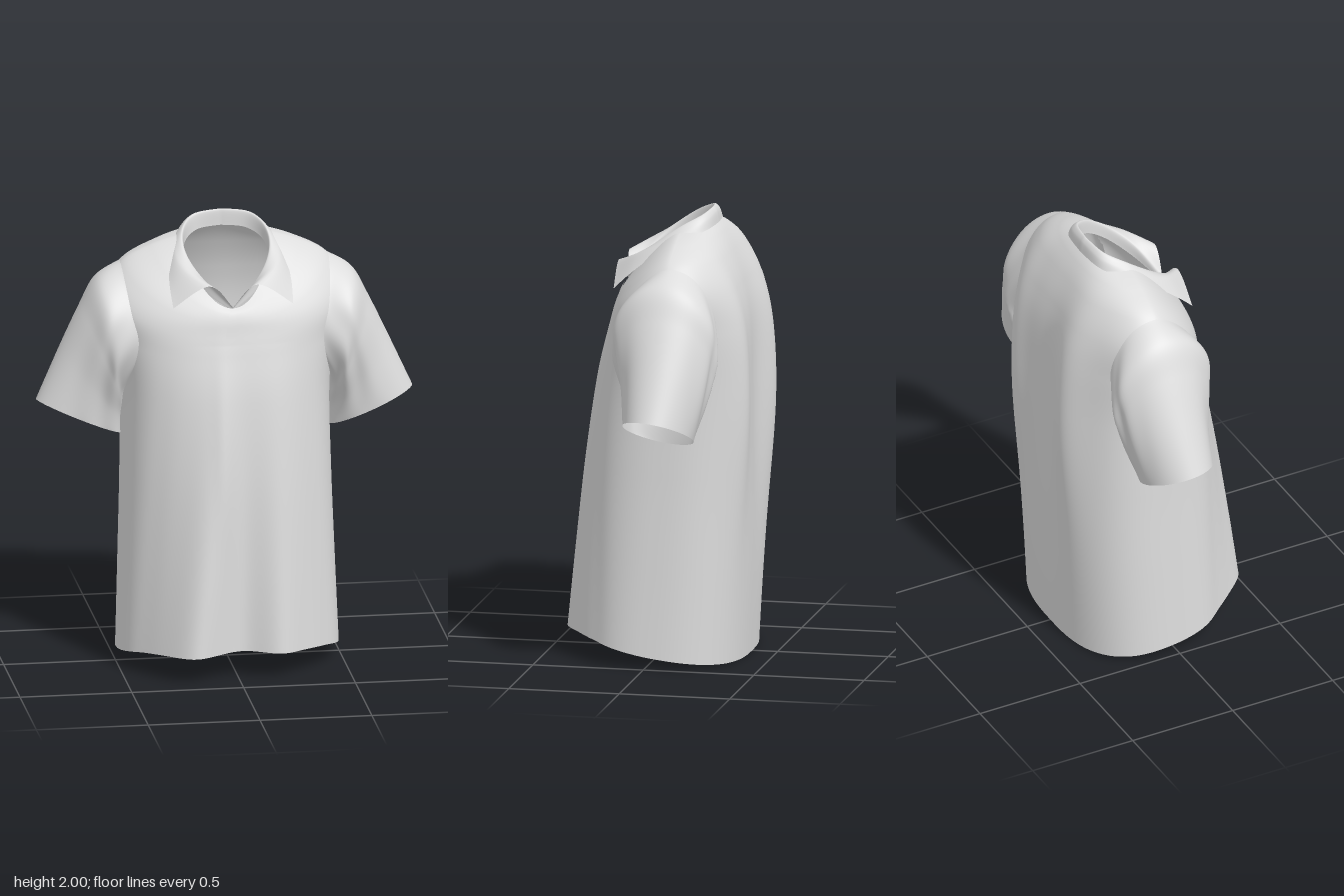
import * as THREE from 'three';

const fabric = new THREE.MeshStandardMaterial({ color: 0xdcdcdc, side: THREE.DoubleSide });
fabric.name = 'light grey fabric';

// Smoothly interpolate a table of rows; t runs from 0 to 1
function sample(rows, t) {
  const f = Math.min(Math.max(t, 0), 1) * (rows.length - 1);
  const i = Math.min(Math.floor(f), rows.length - 2), k = f - i;
  const at = (j) => rows[Math.min(Math.max(j, 0), rows.length - 1)];
  return rows[i].map((b, c) => {
    const a = at(i - 1)[c], d = at(i + 1)[c], e = at(i + 2)[c];
    return b + 0.5 * k * (d - a + k * (2 * a - 5 * b + 4 * d - e + k * (3 * (b - d) + e - a)));
  });
}

// Surface from point(u, v); closed surfaces share their seam along u, skip(u, v) cuts holes
function surface(name, point, nu, nv, closed, skip = () => false) {
  const pos = [], index = [], cols = closed ? nu : nu + 1;
  for (let j = 0; j <= nv; j++)
    for (let i = 0; i < cols; i++) pos.push(...point(i / nu, j / nv));
  for (let j = 0; j < nv; j++)
    for (let i = 0; i < nu; i++) {
      if (skip((i + 0.5) / nu, (j + 0.5) / nv)) continue;
      const a = j * cols + i, b = j * cols + ((i + 1) % cols);
      index.push(a, a + cols, b, b, a + cols, b + cols);
    }
  const g = new THREE.BufferGeometry();
  g.setAttribute('position', new THREE.Float32BufferAttribute(pos, 3));
  g.setIndex(index);
  g.computeVertexNormals();
  const mesh = new THREE.Mesh(g, fabric);
  mesh.name = name;
  return mesh;
}

const bump = (x, centre, width) => Math.exp(-(((x - centre) / width) ** 2));

// Body sections: half width, y front / side / back, z front / side / back, squareness
const bodyRows = [
  [0.492, 0.125, 0.055, 0.0, 0.375, 0.0, -0.385, 0.74],
  [0.478, 0.5, 0.45, 0.42, 0.352, -0.03, -0.405, 0.74],
  [0.465, 0.9, 0.87, 0.85, 0.323, -0.06, -0.416, 0.74],
  [0.462, 1.25, 1.25, 1.25, 0.283, -0.09, -0.416, 0.73],
  [0.495, 1.45, 1.5, 1.52, 0.243, -0.1, -0.404, 0.77],
  [0.535, 1.55, 1.69, 1.69, 0.218, -0.1, -0.368, 0.86],
  [0.46, 1.6, 1.815, 1.82, 0.205, -0.1, -0.315, 0.93],
  [0.33, 1.635, 1.885, 1.9, 0.19, -0.1, -0.265, 1],
  [0.2, 1.655, 1.925, 1.945, 0.172, -0.1, -0.22, 1],
];

function bodyPoint(u, v) {
  const [w, yF, yS, yB, zF, zS, zB, square] = sample(bodyRows, v);
  const c = Math.cos(-u * Math.PI * 2), s = Math.sin(-u * Math.PI * 2);
  const e = square + (s > 0 ? 0.1 * (1 - v) : 0);
  const x = w * Math.sign(c) * Math.abs(c) ** e;
  const y = yS + ((s > 0 ? yF : yB) - yS) * Math.abs(s) ** (e + 0.5 * v);
  let z = zS + ((s > 0 ? zF : zB) - zS) * Math.abs(s) ** e;
  // Drape folds, deeper towards the front hem and the middle of the back
  const low = Math.min(Math.max(1 - y / 1.5, 0), 1);
  if (s > 0) {
    z += s * low * (0.105 * bump(x, -0.04 - 0.19 * low, 0.12) + 0.06 * bump(x, 0.2, 0.1) - 0.025 * bump(x, 0.02, 0.08));
    z -= s * low * 0.02 * bump(Math.abs(x), 0.3 + 0.13 * low, 0.05);
    z += s * 0.012 * bump(y, 1.0, 0.4) * bump(x, -0.06, 0.04);
  } else {
    const mid = bump(y, 1.2, 0.55);
    z += s * mid * (0.05 * bump(x, -0.22, 0.11) + 0.055 * bump(x, 0.31, 0.1) - 0.02 * bump(x, 0, 0.12));
  }
  return [x, y, z];
}

// Armholes are ellipses in the body's own u and v
const armhole = { u: 0.108, v: 0.18, centre: 0.565 };

function inArmhole(u, v) {
  const du = Math.abs(u - Math.round(u * 2) / 2);
  return Math.hypot(du / armhole.u, (v - armhole.centre) / armhole.v) < 0.97;
}

// Sleeve sections: x and y of the top, x and y of the underside, z centre, half depth
const sleeveSections = [
  [0.572, 1.742, 0.46, 1.215, -0.1, 0.238],
  [0.645, 1.61, 0.462, 1.16, -0.105, 0.216],
  [0.735, 1.42, 0.465, 1.1, -0.11, 0.184],
  [0.84, 1.19, 0.465, 1.025, -0.1, 0.156],
];

// Sleeves run from the armhole edge through the sections to the cuff
function sleevePoint(side) {
  return (u, v) => {
    const a = -side * u * Math.PI * 2, k = (1 + Math.cos(a)) / 2, s = Math.sin(a);
    const edge = bodyPoint((side > 0 ? 0 : 0.5) - side * armhole.u * s, armhole.centre + armhole.v * Math.cos(a));
    const path = sleeveSections.map(([xt, yt, xb, yb, zc, h]) =>
      [side * (xb + (xt - xb) * k), yb + (yt - yb) * k, zc + h * s]);
    const p = sample([edge, ...path], v);
    // Creases fanning out from the armpit
    const crease = 0.016 * Math.sin(k * 17 + v * 5) * (1 - k) * Math.sin(Math.PI * v);
    return [p[0], p[1] + 0.02 * s * v * v, p[2] + crease * s];
  };
}

// Collar lines on one half, from the back centre to the front
const collarLines = [
  [[0, 1.93, -0.2], [0.11, 1.92, -0.178], [0.178, 1.88, -0.1], [0.182, 1.81, 0], [0.12, 1.72, 0.1], [0.004, 1.645, 0.17]],
  [[0, 2.0, -0.205], [0.12, 1.988, -0.183], [0.183, 1.945, -0.1], [0.188, 1.875, 0], [0.13, 1.785, 0.1], [0.008, 1.67, 0.178]],
  [[0, 1.985, -0.226], [0.14, 1.97, -0.204], [0.21, 1.925, -0.11], [0.23, 1.865, 0], [0.2, 1.815, 0.1], [0.11, 1.768, 0.195]],
  [[0, 1.935, -0.236], [0.15, 1.93, -0.216], [0.232, 1.89, -0.12], [0.262, 1.825, 0], [0.272, 1.75, 0.1], [0.268, 1.67, 0.185]],
];

function collarPoint(u, v) {
  const t = u * 2 - 1;
  const p = sample(collarLines.map((line) => sample(line, Math.abs(t))), v);
  return [Math.sign(t) * p[0], p[1], p[2]];
}

// Front placket lying just proud of the chest
function placketPoint(u, v) {
  const p = bodyPoint(0.75, 1 - v * 0.4);
  return [(u - 0.5) * 0.06 * (0.3 + 0.7 * v) - 0.01 * v, p[1], p[2] + 0.008];
}

export function createModel() {
  const shirt = new THREE.Group();
  shirt.name = 'poloShirt';
  shirt.add(surface('body', bodyPoint, 240, 160, true, inArmhole));
  for (const side of [1, -1])
    shirt.add(surface(side > 0 ? 'leftSleeve' : 'rightSleeve', sleevePoint(side), 80, 48, true));
  shirt.add(surface('collar', collarPoint, 80, 24, false));
  shirt.add(surface('placket', placketPoint, 4, 24, false));
  return shirt;
}
